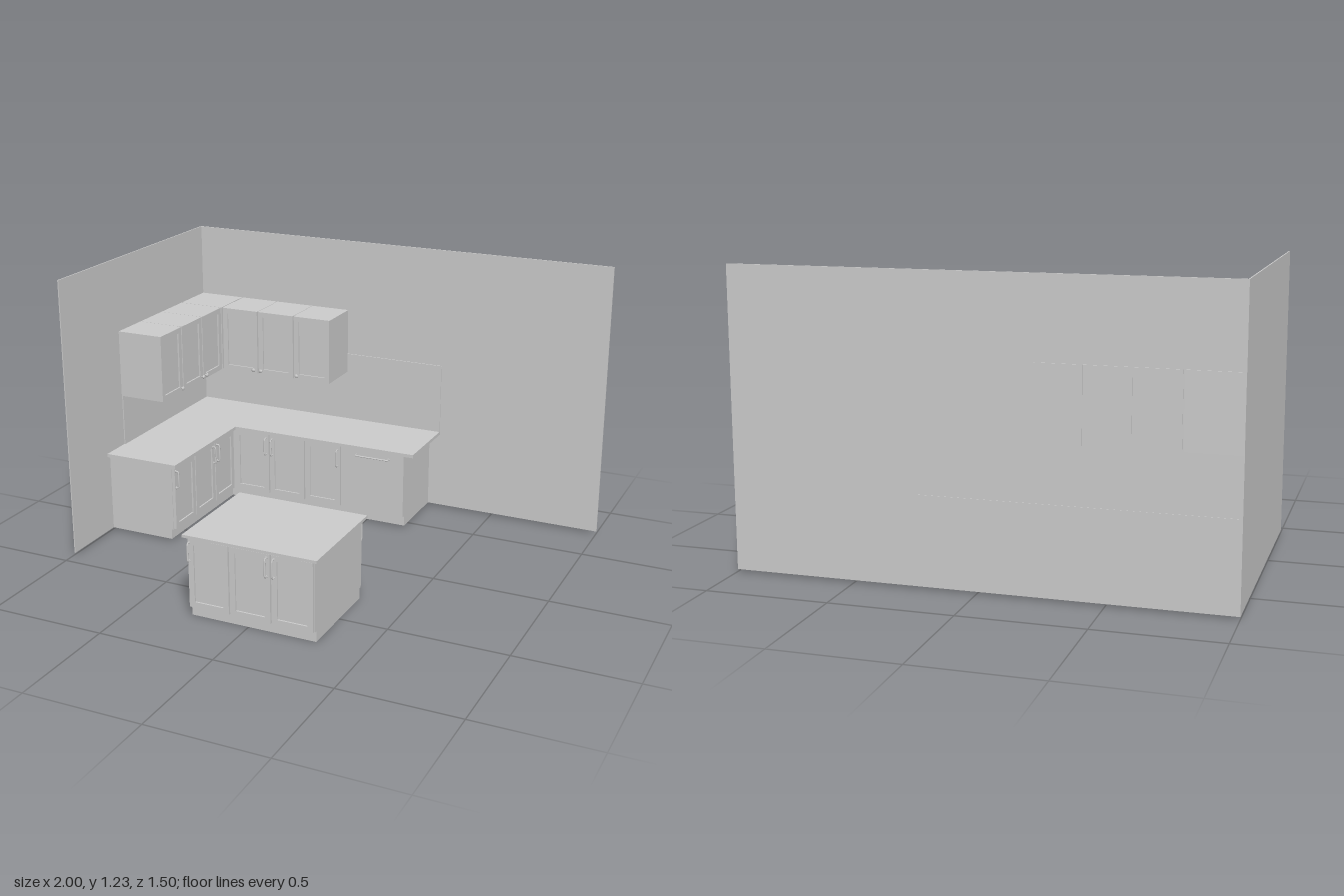
import * as THREE from 'three';

const grey = new THREE.MeshStandardMaterial({ color: 0xcccccc });

function add(parent, name, geometry) {
  const mesh = new THREE.Mesh(geometry, grey);
  mesh.name = name;
  parent.add(mesh);
  return mesh;
}

// Box given by its two extreme corners
function box(parent, name, x0, y0, z0, x1, y1, z1) {
  const mesh = add(parent, name, new THREE.BoxGeometry(x1 - x0, y1 - y0, z1 - z0));
  mesh.position.set((x0 + x1) / 2, (y0 + y1) / 2, (z0 + z1) / 2);
  return mesh;
}

function polygon(points) {
  return new THREE.Shape(points.map(([x, y]) => new THREE.Vector2(x, y)));
}

function rectangle(x0, y0, x1, y1) {
  return [[x0, y0], [x1, y0], [x1, y1], [x0, y1]];
}

// Framed door with a recessed panel; its front is DEPTH in front of local z = 0
const DEPTH = 0.014;
function door(parent, x0, x1, y0, y1, border) {
  const group = new THREE.Group();
  group.name = 'door';
  const frame = polygon(rectangle(x0, y0, x1, y1));
  frame.holes.push(polygon(rectangle(x0 + border, y0 + border, x1 - border, y1 - border)));
  add(group, 'doorFrame', new THREE.ExtrudeGeometry(frame, { depth: DEPTH, bevelEnabled: false }));
  box(group, 'doorPanel', x0 + border, y0 + border, 0, x1 - border, y1 - border, DEPTH * 0.5);
  parent.add(group);
}

// Bow handle, centred, standing out towards +z
function barHandle(parent, x, y, length, horizontal = false) {
  const h = length / 2;
  const points = [[-h + 0.006, 0], [-h + 0.006, 0.011], [-h + 0.014, 0.014], [h - 0.014, 0.014], [h - 0.006, 0.011], [h - 0.006, 0]];
  const path = new THREE.CurvePath();
  const v = points.map(([a, z]) => new THREE.Vector3(0, a, z));
  for (let i = 1; i < v.length; i++) path.add(new THREE.LineCurve3(v[i - 1], v[i]));
  const handle = new THREE.Group();
  handle.name = 'handle';
  add(handle, 'handleBar', new THREE.TubeGeometry(path, 30, 0.0035, 8));
  // Round feet
  for (const s of [-1, 1]) {
    const foot = add(handle, 'handleFoot', new THREE.CylinderGeometry(0.006, 0.006, 0.003, 12));
    foot.rotation.x = Math.PI / 2;
    foot.position.set(0, s * (h - 0.006), 0.0015);
  }
  handle.position.set(x, y, DEPTH);
  if (horizontal) handle.rotation.z = Math.PI / 2;
  parent.add(handle);
}

function knob(parent, x, y) {
  const profile = [[0.004, 0], [0.004, 0.006], [0.009, 0.009], [0.009, 0.012], [0.006, 0.015], [0, 0.016]];
  const mesh = add(parent, 'knob', new THREE.LatheGeometry(profile.map(([r, h]) => new THREE.Vector2(r, h)), 14));
  mesh.rotation.x = Math.PI / 2;
  mesh.position.set(x, y, DEPTH);
}

// Row of equal doors along local +x, facing local +z
function doorRow(parent, name, { start, pitch, y0, y1, knobs = [], handles = [], handleY = 0.293 }) {
  const row = new THREE.Group();
  row.name = name;
  for (let i = 0; i < 3; i++) {
    const x = start + i * pitch;
    door(row, x + 0.003, x + pitch - 0.003, y0, y1, 0.024);
  }
  knobs.forEach(x => knob(row, x, y0 + 0.018));
  handles.forEach(x => barHandle(row, x, handleY, 0.09));
  parent.add(row);
  return row;
}

function walls(parent) {
  box(parent, 'backWall', -1, 0.01, -0.748, 1, 1.225, -0.742);
  box(parent, 'sideWall', -1, 0.01, -0.748, -0.995, 1.225, 0.435);
  box(parent, 'backSplash', -0.995, 0.37, -0.743, 0.24, 0.69, -0.737);
  box(parent, 'sideSplash', -0.996, 0.37, -0.743, -0.99, 0.61, 0.01);
}

function upperCabinets(parent) {
  const group = new THREE.Group();
  group.name = 'upperCabinets';
  // Corner unit and three carcasses on each wall
  box(group, 'cornerCabinet', -1, 0.602, -0.752, -0.782, 0.9, -0.535);
  for (let i = 0; i < 3; i++) {
    const x = -0.777 + i * 0.184;
    box(group, 'backCabinet', x, 0.602, -0.752, x + 0.182, 0.9, -0.548);
    const z = 0.012 - i * 0.182;
    box(group, 'sideCabinet', -1, 0.602, z - 0.18, -0.796, 0.9, z);
  }
  const back = doorRow(group, 'backUpperDoors', { start: -0.777, pitch: 0.184, y0: 0.602, y1: 0.9, knobs: [-0.613, -0.575, -0.39] });
  back.position.z = -0.548;
  const side = doorRow(group, 'sideUpperDoors', { start: -0.015, pitch: 0.182, y0: 0.602, y1: 0.9, knobs: [0.147, 0.335, 0.367] });
  side.rotation.y = Math.PI / 2;
  side.position.x = -0.796;
  parent.add(group);
}

function lowerCabinets(parent) {
  const group = new THREE.Group();
  group.name = 'lowerCabinets';
  // Carcasses and recessed plinths
  box(group, 'backCarcass', -1, 0.055, -0.745, 0.19, 0.357, -0.434);
  box(group, 'sideCarcass', -0.998, 0.055, -0.745, -0.68, 0.357, 0.13);
  box(group, 'backPlinth', -0.998, 0.01, -0.745, 0.19, 0.056, -0.44);
  box(group, 'sidePlinth', -0.998, 0.01, -0.745, -0.69, 0.056, 0.13);
  // L-shaped worktop
  const outline = polygon([[-1, 0.75], [-1, -0.15], [-0.65, -0.15], [-0.65, 0.405], [0.24, 0.405], [0.24, 0.75]]);
  const top = add(group, 'worktop', new THREE.ExtrudeGeometry(outline, { depth: 0.015, bevelEnabled: false }));
  top.rotation.x = -Math.PI / 2;
  top.position.y = 0.357;
  // Doors and handles
  const back = doorRow(group, 'backLowerDoors', { start: -0.664, pitch: 0.182, y0: 0.06, y1: 0.352, handles: [-0.5, -0.468, -0.135] });
  back.position.z = -0.434;
  const side = doorRow(group, 'sideLowerDoors', { start: -0.13, pitch: 0.182, y0: 0.06, y1: 0.352, handles: [-0.118, 0.217, 0.252] });
  side.rotation.y = Math.PI / 2;
  side.position.x = -0.68;
  // Flat-fronted appliance with a horizontal handle
  box(back, 'dishwasherFront', -0.114, 0.06, 0, 0.19, 0.352, DEPTH);
  barHandle(back, 0.038, 0.325, 0.17, true);
  parent.add(group);
}

function island(parent) {
  const group = new THREE.Group();
  group.name = 'island';
  const half = 0.2725;
  box(group, 'islandPlinth', -half, 0, -0.206, half, 0.05, 0.206);
  box(group, 'islandCarcass', -half, 0.045, -0.215, half, 0.345, 0.215);
  box(group, 'islandTop', -0.29, 0.345, -0.238, 0.29, 0.357, 0.238);
  // The same doors on both long sides, turned half round
  for (const turn of [0, Math.PI]) {
    const row = doorRow(group, 'islandDoors', { start: -half, pitch: half * 2 / 3, y0: 0.047, y1: 0.34, handles: [-0.264, 0.073, 0.104], handleY: 0.285 });
    row.rotation.y = turn;
    row.position.z = turn ? -0.215 : 0.215;
  }
  group.position.set(0.02, 0, 0.505);
  parent.add(group);
}

export function createModel() {
  const model = new THREE.Group();
  model.name = 'kitchen';
  walls(model);
  upperCabinets(model);
  lowerCabinets(model);
  island(model);
  return model;
}
